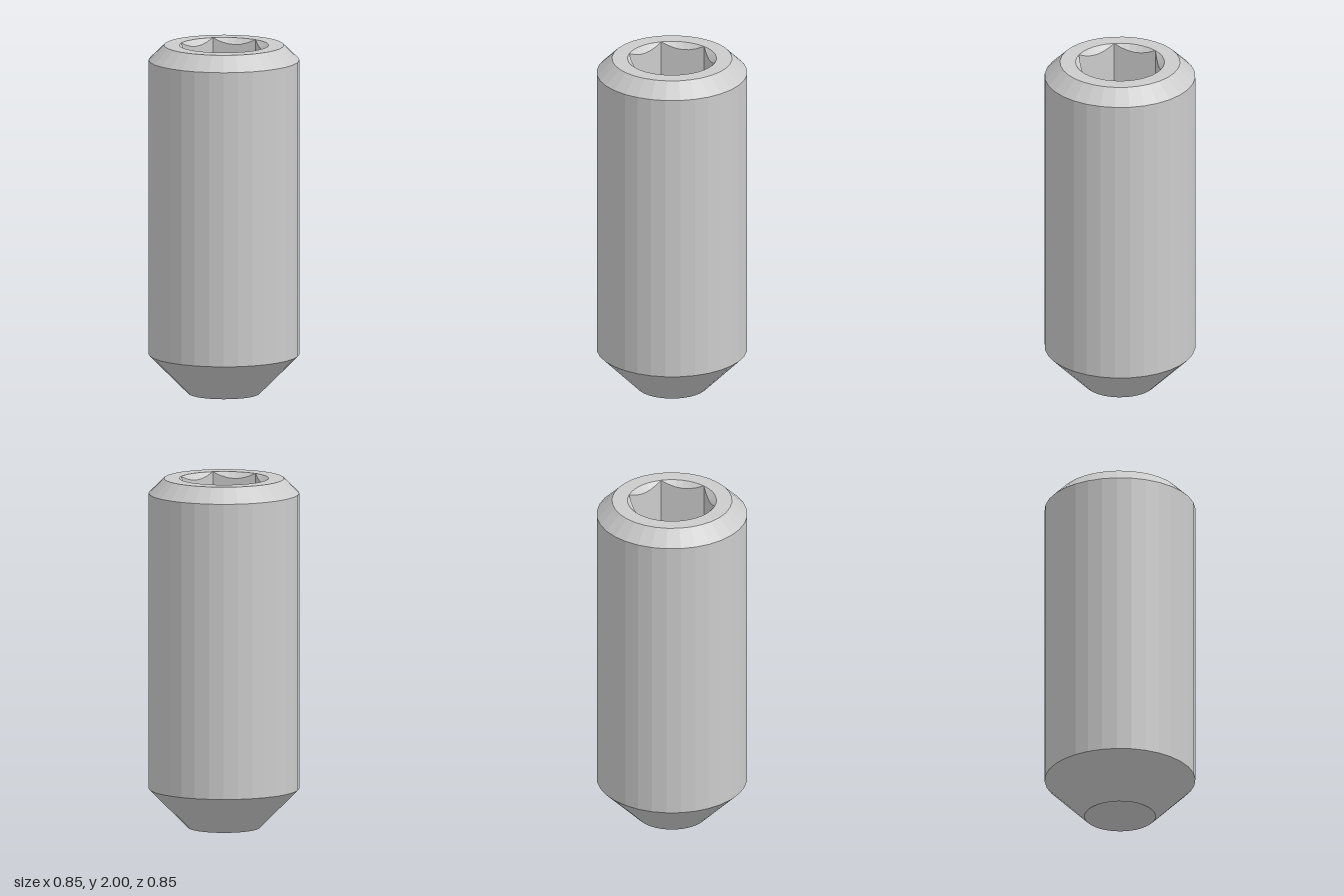
import * as THREE from 'three';

const SIDES = 32;         // facets around the body
const HOLE_SIDES = 36;    // facets around the socket mouth, six per flat
const MOUTH = 0.252;      // socket mouth radius, equal to the hexagon corner radius
const SOCKET_FLOOR = 1.5;

const material = new THREE.MeshStandardMaterial({ color: 0xcccccc, flatShading: true });

function part(name, geometry) {
  const mesh = new THREE.Mesh(geometry, material);
  mesh.name = name;
  return mesh;
}

// Points of a ring, counter-clockwise
function circle(radius, count) {
  return Array.from({ length: count }, (_, i) => {
    const a = (i / count) * Math.PI * 2;
    return new THREE.Vector2(radius * Math.cos(a), radius * Math.sin(a));
  });
}

// Distance from the axis to the hexagon wall at an angle
function hexRadius(a) {
  const sector = Math.PI / 3;
  const local = (a % sector) - sector / 2;
  return MOUTH * Math.cos(Math.PI / 6) / Math.cos(local);
}

// Inward-facing socket: conical countersink, hexagonal walls, flat floor
function socketGeometry() {
  const loops = [
    () => [MOUTH, 2],
    (r) => [r, 2 - (MOUTH - r)],
    (r) => [r, SOCKET_FLOOR],
    () => [0, SOCKET_FLOOR],
  ];
  const positions = [];
  const index = [];
  for (const loop of loops) {
    for (let i = 0; i < HOLE_SIDES; i++) {
      const a = (i / HOLE_SIDES) * Math.PI * 2;
      const [r, y] = loop(hexRadius(a));
      positions.push(r * Math.cos(a), y, -r * Math.sin(a));
    }
  }
  for (let k = 0; k < loops.length - 1; k++) {
    for (let i = 0; i < HOLE_SIDES; i++) {
      const j = (i + 1) % HOLE_SIDES;
      const u = k * HOLE_SIDES;
      const l = u + HOLE_SIDES;
      index.push(u + i, u + j, l + j);
      if (k < loops.length - 2) index.push(u + i, l + j, l + i);
    }
  }
  const geometry = new THREE.BufferGeometry();
  geometry.setAttribute('position', new THREE.Float32BufferAttribute(positions, 3));
  geometry.setIndex(index);
  const flat = geometry.toNonIndexed();
  flat.computeVertexNormals();
  return flat;
}

export function createModel() {
  const group = new THREE.Group();
  group.name = 'setScrew';

  // Hollow cup point, tapered tip, cylindrical shank and top chamfer
  const profile = [[0, 0.116], [0.202, 0], [0.427, 0.225], [0.427, 1.915], [0.34, 2]]
    .map(([r, y]) => new THREE.Vector2(r, y));
  const body = new THREE.LatheGeometry(profile, SIDES).toNonIndexed();
  body.computeVertexNormals();
  group.add(part('body', body));

  // Flat ring around the socket mouth
  const ring = new THREE.Shape(circle(0.34, SIDES));
  ring.holes.push(new THREE.Path(circle(MOUTH, HOLE_SIDES)));
  const topFace = new THREE.ShapeGeometry(ring);
  topFace.rotateX(-Math.PI / 2);
  topFace.translate(0, 2, 0);
  group.add(part('topFace', topFace));

  group.add(part('hexSocket', socketGeometry()));
  return group;
}
